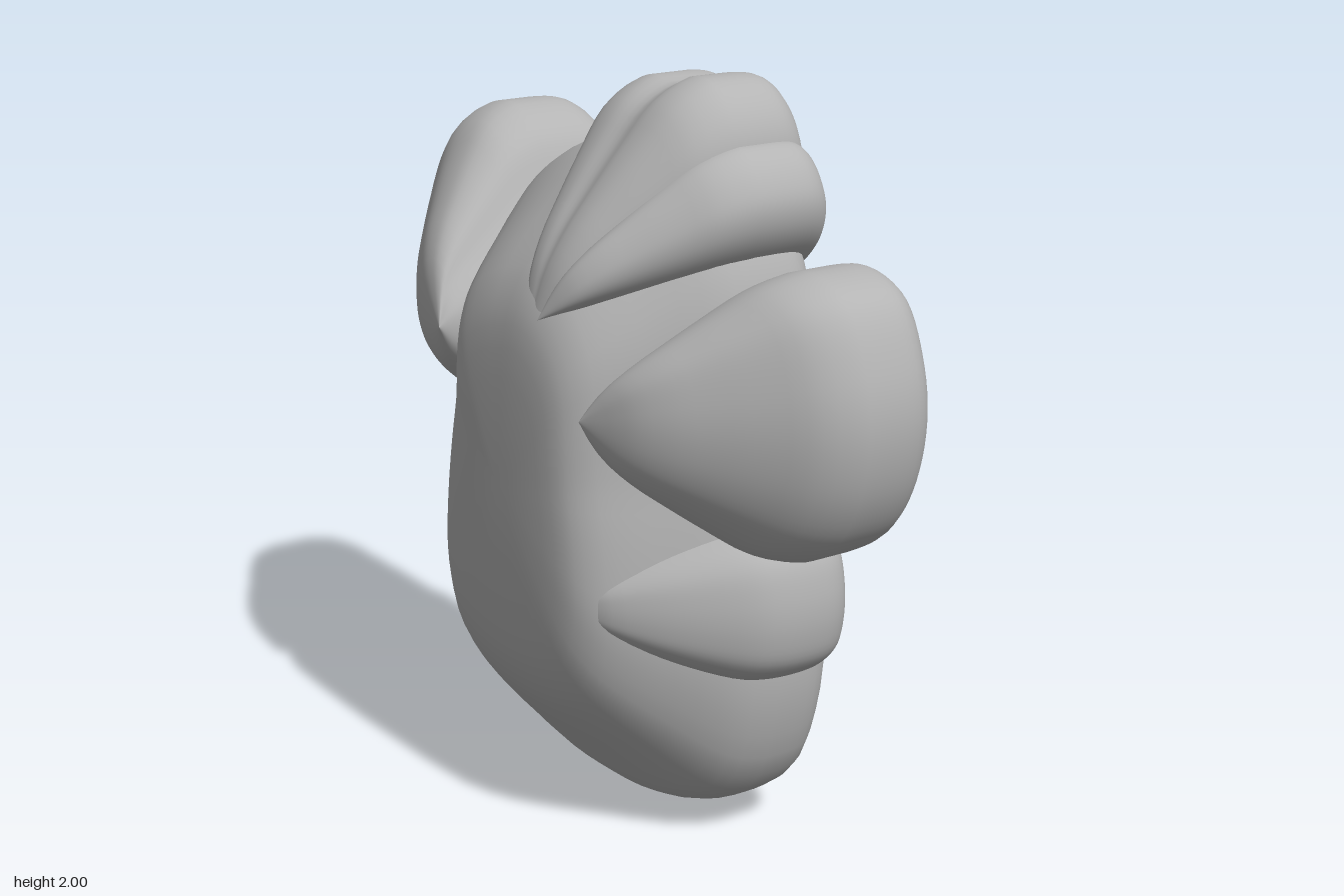
import * as THREE from 'three';

const grey = new THREE.MeshStandardMaterial({ color: 0xb4b4b4 });
grey.name = 'soft grey';

// Each profile lists [z, how far the outline has closed in on the focus], back to front.
const back = (z) => [[z, 1], [z, 0.6], [z, 0.25], [z + 0.02, 0.1], [z + 0.07, 0.02], [z + 0.14, 0]];
const limbProfile = [...back(-0.35), [-0.1, 0], [0, 0.08], [0.08, 0.23], [0.17, 0.42], [0.24, 0.58], [0.29, 0.75], [0.325, 1]];
const bumpProfile = [...back(-0.315), [-0.08, 0.02], [0, 0.09], [0.1, 0.27], [0.2, 0.5], [0.28, 0.75], [0.31, 1]];
const bodyProfile = [...back(-0.34), [-0.1, 0.005], [0, 0.05], [0.13, 0.19], [0.24, 0.32], [0.3, 0.42], [0.335, 0.55], [0.348, 0.78], [0.35, 1]];

// A soft lobe: a closed outline lofted along z, closing in on a focus at both ends.
function lobe(name, outline, focus, profile) {
  const sides = 72, steps = 36;
  let ring = new THREE.CatmullRomCurve3(outline.map(([x, y]) => new THREE.Vector3(x, y, 0)), true)
    .getSpacedPoints(sides).slice(0, sides);
  if (THREE.ShapeUtils.area(ring) < 0) ring = ring.reverse();
  const levels = new THREE.SplineCurve(profile.map(([z, k]) => new THREE.Vector2(z, k))).getPoints(steps);
  const pos = [], index = [];
  for (const { x: z, y: k } of levels) {
    const t = THREE.MathUtils.clamp(k, 0, 1);
    for (const p of ring) pos.push(p.x + (focus[0] - p.x) * t, p.y + (focus[1] - p.y) * t, z);
  }
  for (let i = 0; i < steps; i++) {
    for (let j = 0; j < sides; j++) {
      const a = i * sides + j, b = i * sides + (j + 1) % sides;
      const c = a + sides, d = b + sides;
      if (i > 0) index.push(a, b, d);
      if (i < steps - 1) index.push(a, d, c);
      else index.push(a, b, c);
    }
  }
  // close the back pole
  for (let j = 0; j < sides; j++) index.push(j, sides + (j + 1) % sides, sides + j);
  const g = new THREE.BufferGeometry();
  g.setAttribute('position', new THREE.Float32BufferAttribute(pos, 3));
  g.setIndex(index);
  g.computeVertexNormals();
  const mesh = new THREE.Mesh(g, grey);
  mesh.name = name;
  return mesh;
}

export function createModel() {
  const group = new THREE.Group();
  group.name = 'softFigure';

  // torso and head in one piece
  const base = [[0.52, 1.05], [0.55, 0.88], [0.575, 0.68], [0.585, 0.49], [0.56, 0.33], [0.5, 0.18], [0.38, 0.08], [0.2, 0.02]];
  const mirroredBase = base.map(([x, y]) => [-x, y]).reverse();
  group.add(lobe('body', [
    [-0.47, 1.3], [-0.46, 1.5], [-0.42, 1.64], [-0.34, 1.715], [-0.2, 1.79], [-0.06, 1.83], [0.15, 1.86],
    [0.35, 1.74], [0.47, 1.54], [0.5, 1.3], ...base, [0, 0.003], ...mirroredBase,
  ], [0, 0.95], bodyProfile));

  // raised arms
  group.add(lobe('rightArm', [
    [-0.41, 1.62], [-0.47, 1.74], [-0.55, 1.8], [-0.63, 1.82], [-0.78, 1.77], [-0.89, 1.61], [-0.93, 1.4],
    [-0.9, 1.2], [-0.8, 1.05], [-0.62, 0.95], [-0.45, 0.95], [-0.3, 1.1], [-0.28, 1.4],
  ], [-0.32, 1.3], limbProfile));
  group.add(lobe('leftArm', [
    [0.46, 1.47], [0.52, 1.52], [0.6, 1.57], [0.7, 1.59], [0.83, 1.54], [0.91, 1.38], [0.93, 1.22],
    [0.89, 1.04], [0.8, 0.91], [0.65, 0.84], [0.48, 0.87], [0.32, 1.0], [0.32, 1.3],
  ], [0.33, 1.2], limbProfile));

  // side bumps at the hips
  for (const [side, name] of [[1, 'leftHip'], [-1, 'rightHip']]) {
    group.add(lobe(name, [
      [0.45, 0.92], [0.57, 0.9], [0.64, 0.84], [0.67, 0.74], [0.67, 0.63], [0.645, 0.55], [0.57, 0.49],
      [0.42, 0.48], [0.3, 0.68],
    ].map(([x, y]) => [x * side, y]), [0.27 * side, 0.7], bumpProfile));
  }

  // tuft on the head, with a knob beside it
  group.add(lobe('tuft', [
    [-0.07, 1.75], [-0.075, 1.87], [-0.03, 1.95], [0.06, 1.985], [0.15, 1.972], [0.22, 2.0], [0.3, 1.995],
    [0.37, 1.94], [0.41, 1.85], [0.4, 1.7], [0.28, 1.5], [0.08, 1.45],
  ], [0.1, 1.36], limbProfile));
  group.add(lobe('tuftKnob', [
    [0.34, 1.83], [0.41, 1.85], [0.47, 1.81], [0.51, 1.73], [0.505, 1.66], [0.465, 1.59], [0.38, 1.52],
    [0.2, 1.5], [0.22, 1.7],
  ], [0.15, 1.42], limbProfile));

  return group;
}
